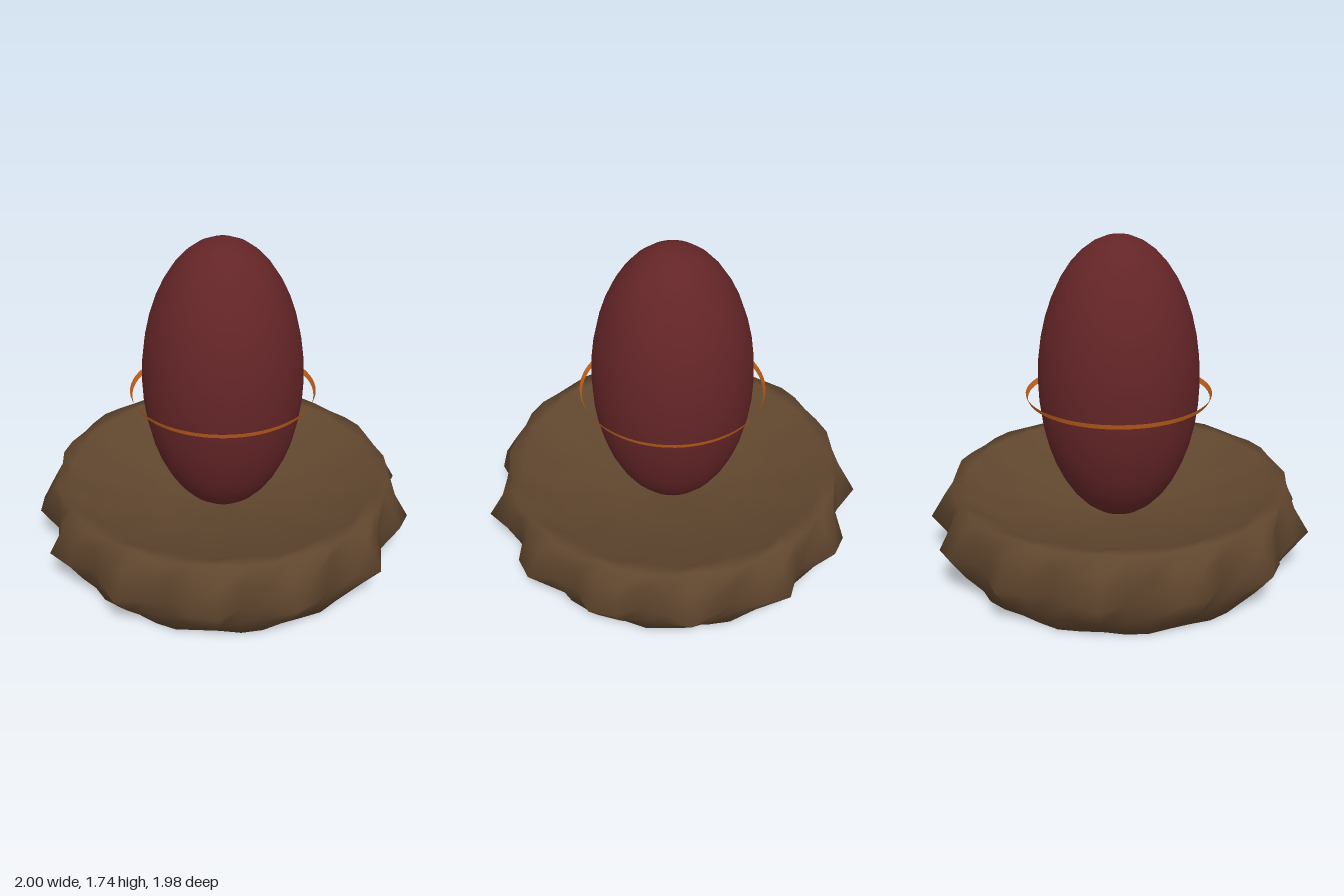
import * as THREE from 'three';

const SEGMENTS = 48;
const LOBES = 13;

// Cross-section of the nest: [radius, height, lobe depth], from the middle of the base to the middle of the bowl
const NEST_PROFILE = [
  [0, 0, 0],
  [0.82, 0, -0.013],
  [0.885, 0.1, 0.022],
  [0.948, 0.225, 0.06],
  [0.905, 0.35, 0.025],
  [0.875, 0.447, -0.012],
  [0.81, 0.445, 0.012],
  [0.69, 0.365, 0.012],
  [0.35, 0.27, 0.004],
  [0, 0.21, 0],
];

// Sweeps the cross-section round the axis with a scalloped edge
function makeNestGeometry() {
  const positions = [];
  const index = [];
  NEST_PROFILE.forEach(([radius, y, depth], i) => {
    for (let j = 0; j < SEGMENTS; j++) {
      const t = (j / SEGMENTS) * Math.PI * 2;
      const r = radius + depth * Math.cos(LOBES * t);
      positions.push(r * Math.sin(t), y, r * Math.cos(t));
      if (i === NEST_PROFILE.length - 1) continue;
      const next = (j + 1) % SEGMENTS;
      const a = i * SEGMENTS + j;
      const b = i * SEGMENTS + next;
      const c = b + SEGMENTS;
      const d = a + SEGMENTS;
      if (i > 0) index.push(a, b, c);
      if (i < NEST_PROFILE.length - 2) index.push(a, c, d);
      else if (i === 0) index.push(a, c, d);
    }
  });
  const geometry = new THREE.BufferGeometry();
  geometry.setAttribute('position', new THREE.Float32BufferAttribute(positions, 3));
  geometry.setIndex(index);
  geometry.computeVertexNormals();
  return geometry;
}

export function createModel() {
  const nestBrown = new THREE.MeshStandardMaterial({ color: 0x60462e });
  nestBrown.name = 'nestBrown';
  const eggRed = new THREE.MeshStandardMaterial({ color: 0x642527 });
  eggRed.name = 'eggRed';
  const ringOrange = new THREE.MeshStandardMaterial({ color: 0xcc661e, side: THREE.DoubleSide });
  ringOrange.name = 'ringOrange';

  const group = new THREE.Group();
  group.name = 'eggInNest';
  const add = (name, geometry, material, y = 0) => {
    const mesh = new THREE.Mesh(geometry, material);
    mesh.name = name;
    mesh.position.set(0, y, -0.018);
    group.add(mesh);
    return mesh;
  };

  // Scalloped bowl
  add('nest', makeNestGeometry(), nestBrown);

  // Tall egg standing in the bowl
  const egg = add('egg', new THREE.SphereGeometry(0.415, 32, 20), eggRed, 0.99);
  egg.scale.y = 1.8;

  // Thin flared band floating round the egg
  add('ring', new THREE.CylinderGeometry(0.479, 0.468, 0.026, 64, 1, true), ringOrange, 0.912);

  return group;
}
